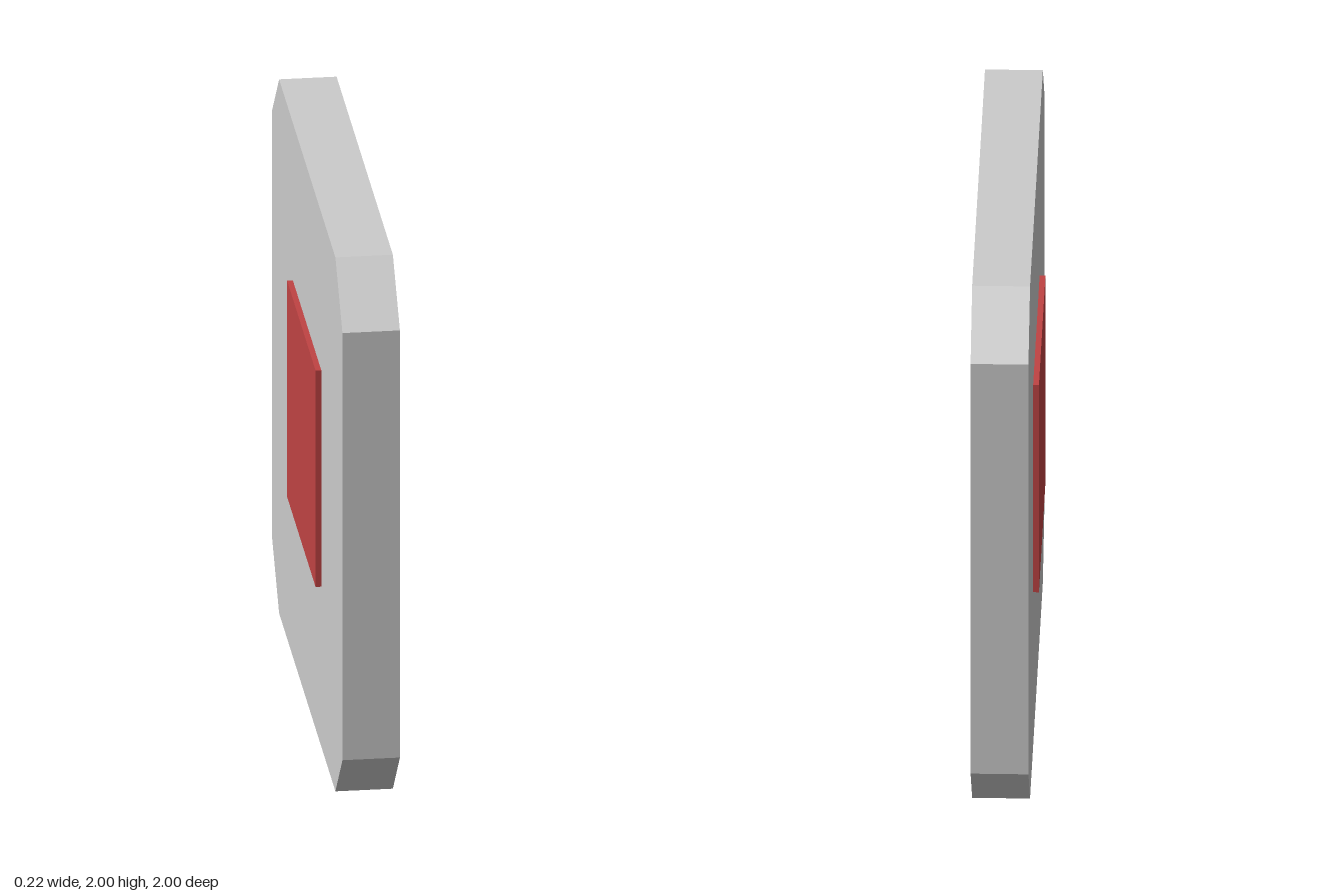
import * as THREE from 'three';

// Square outline with cut corners, centred on (cx, cy)
function outline(Type, half, cut = 0, cx = 0, cy = 0) {
  const i = half - cut;
  const corners = cut
    ? [[i, -half], [half, -i], [half, i], [i, half], [-i, half], [-half, i], [-half, -i], [-i, -half]]
    : [[half, -half], [half, half], [-half, half], [-half, -half]];
  return new Type(corners.map(([x, y]) => new THREE.Vector2(cx + x, cy + y)));
}

export function createModel() {
  const model = new THREE.Group();
  const mat = (color) => new THREE.MeshStandardMaterial({ color, flatShading: true });
  const grey = mat(0xcccccc), red = mat(0xbf4343), orange = mat(0xd75d46), purple = mat(0x7360c2);
  const O = 0.005; // slight offset of the red inset

  // Plate standing in the y-z plane, extruded along x from x0 to x1
  function plate(name, x0, x1, material, shape, hole) {
    if (hole) shape.holes.push(hole);
    const geo = x1 > x0
      ? new THREE.ExtrudeGeometry(shape, { depth: x1 - x0, bevelEnabled: false })
      : new THREE.ShapeGeometry(shape);
    geo.rotateY(Math.PI / 2).translate(x0, 1, 0);
    const mesh = new THREE.Mesh(geo, material);
    mesh.name = name;
    model.add(mesh);
  }
  const { Shape, Path } = THREE;

  // Grey body: back slab and raised rim around the recess
  plate('backPanel', -0.09, 0.01, grey, outline(Shape, 1, 0.2), outline(Path, 0.405, 0, O, O));
  plate('rim', 0.01, 0.11, grey, outline(Shape, 1, 0.2), outline(Path, 0.8, 0.08));

  // Flat coloured sheet on the recess floor
  plate('purpleSheet', 0.016, 0.016, purple, outline(Shape, 0.6), outline(Path, 0.405, 0, O, O));

  // Red tray set through the panel, open towards +x
  plate('trayBack', -0.11, -0.045, red, outline(Shape, 0.405, 0, O, O));
  plate('trayFrame', -0.045, 0.03, red, outline(Shape, 0.405, 0, O, O), outline(Path, 0.325, 0, O, O));
  plate('trayFloor', -0.042, -0.042, orange, outline(Shape, 0.325, 0, O, O));

  return model;
}
